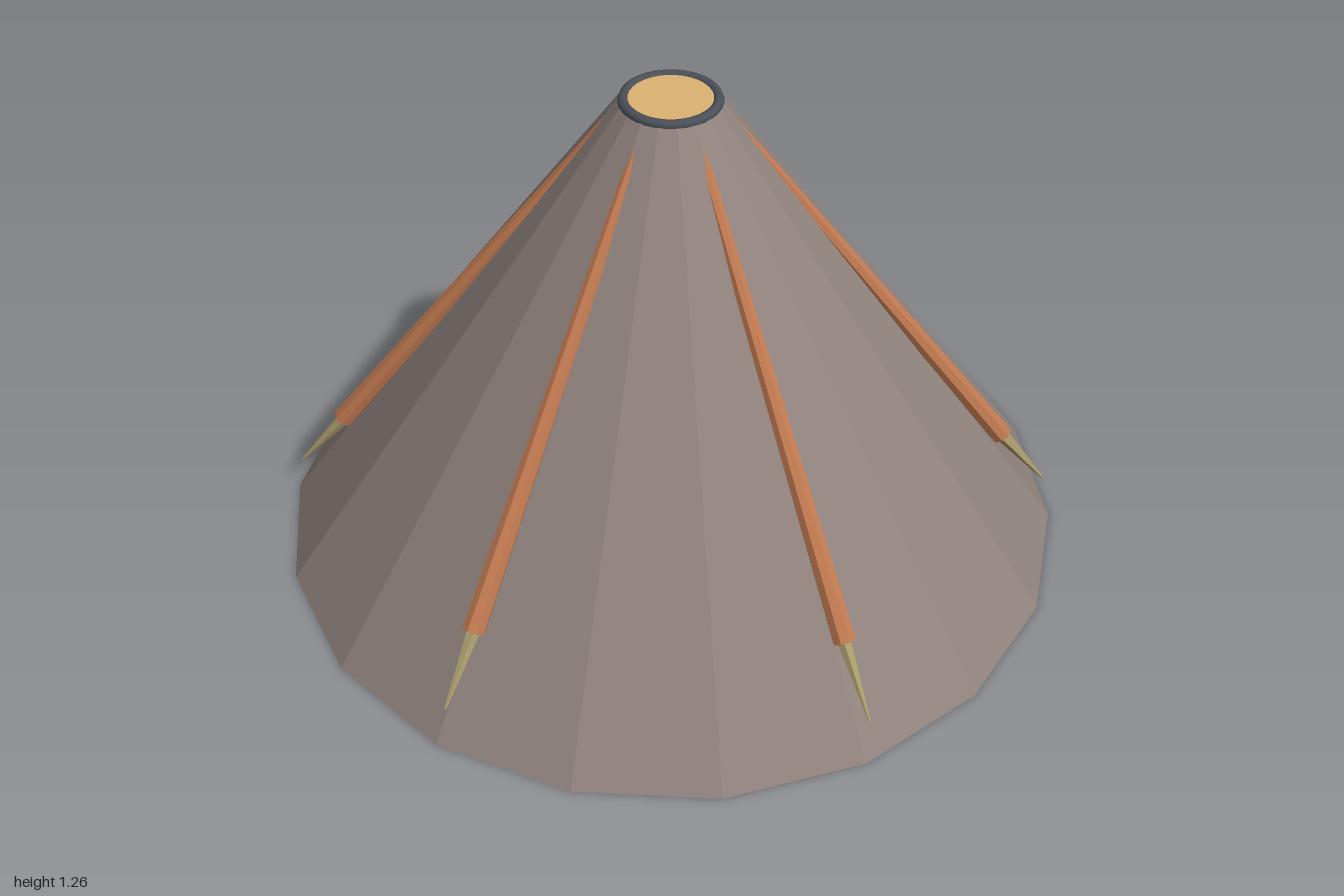
import * as THREE from 'three';

const mat = (color, flatShading = true) => new THREE.MeshStandardMaterial({ color, flatShading });
const UP = new THREE.Vector3(0, 1, 0);

// Tapered bar running from point a (radius ra) to point b (radius rb)
function bar(name, a, b, ra, rb, sides, material) {
  const dir = b.clone().sub(a);
  const mesh = new THREE.Mesh(new THREE.CylinderGeometry(rb, ra, dir.length(), sides), material);
  mesh.position.copy(a).add(b).multiplyScalar(0.5);
  mesh.quaternion.setFromUnitVectors(UP, dir.normalize());
  mesh.name = name;
  return mesh;
}

export function createModel() {
  const model = new THREE.Group();
  model.name = 'conicalBody';

  const add = (name, geometry, material, y) => {
    const mesh = new THREE.Mesh(geometry, material);
    mesh.name = name;
    mesh.position.y = y;
    model.add(mesh);
    return mesh;
  };

  // Eighteen-sided cone with a corner on the x axis
  add('coneShell', new THREE.CylinderGeometry(0.12, 1, 1.245, 18), mat(0x8f827d), 0.6225)
    .rotation.y = Math.PI / 2;

  // Rim and lid at the top
  add('topRim', new THREE.TorusGeometry(0.11, 0.013, 8, 32).rotateX(Math.PI / 2), mat(0x4b5059, false), 1.244);
  add('topLid', new THREE.CylinderGeometry(0.1, 0.1, 0.012, 32), mat(0xdcb272), 1.244);

  // Six sloping rods, each ending in a pointed tip
  const copper = mat(0xbf7850);
  const brass = mat(0xa89c6c);
  for (let i = 0; i < 6; i++) {
    const rib = new THREE.Group();
    rib.name = 'rib' + (i + 1);
    const top = new THREE.Vector3(0.106, 1.235, 0);
    const end = new THREE.Vector3(0.852, 0.26, 0);
    const tip = new THREE.Vector3(0.976, 0.112, 0);
    rib.add(bar('rod', end, top, 0.028, 0.014, 8, copper));
    rib.add(bar('spike', end, tip, 0.018, 0.003, 6, brass));
    rib.rotation.y = -THREE.MathUtils.degToRad(19 + i * 60);
    model.add(rib);
  }
  return model;
}
